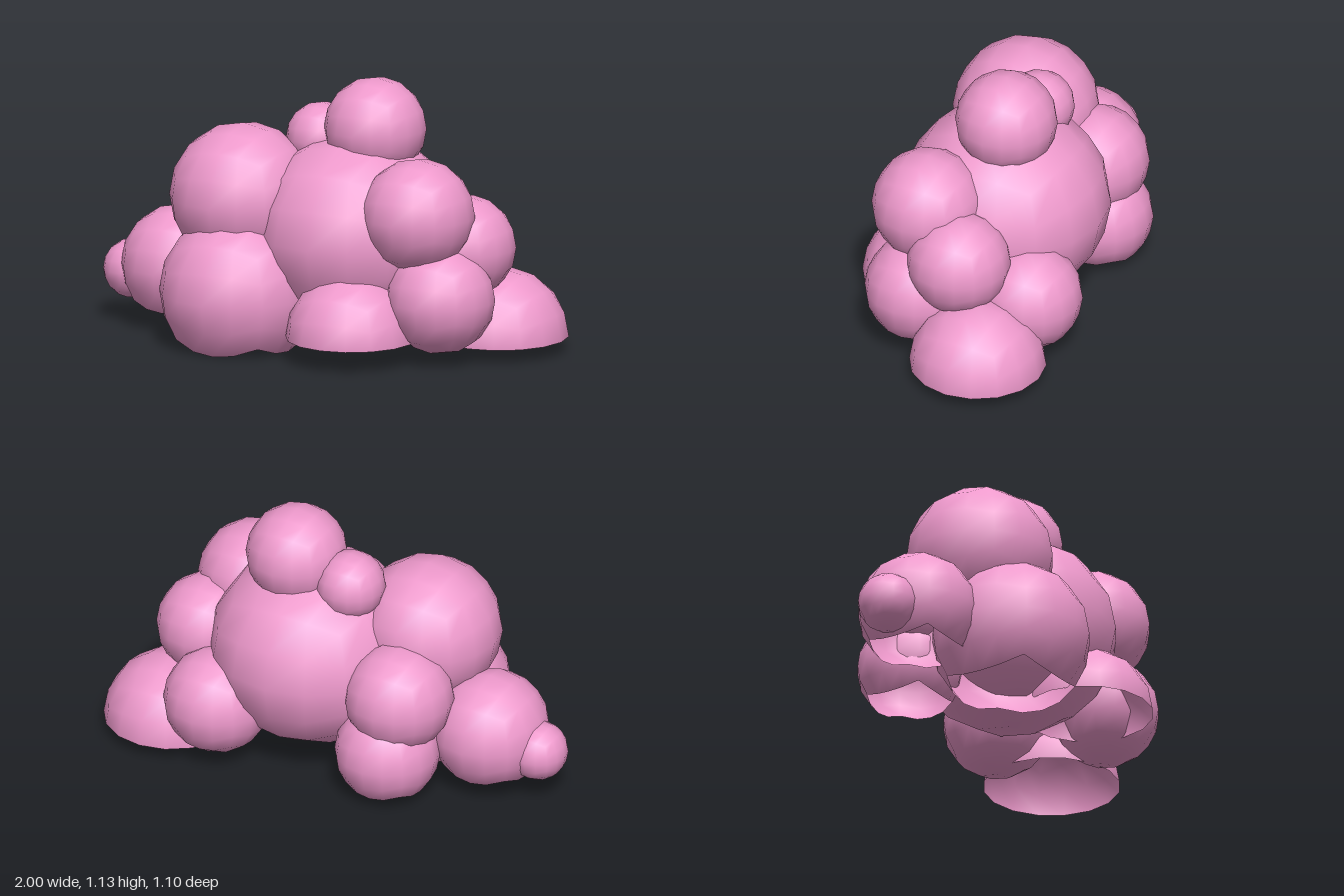
import * as THREE from 'three';

const pink = new THREE.MeshStandardMaterial({ color: 0xee99cc });
const pinkOpen = new THREE.MeshStandardMaterial({ color: 0xee99cc, side: THREE.DoubleSide });

// Unit sphere made from a 4x4 subdivided cube.
// kind: 'full', 'open' (bottom cube face missing) or 'dome' (upper half only)
function cubeSphere(kind) {
  const geo = new THREE.BoxGeometry(2, 2, 2, 4, 4, 4);
  const pos = geo.attributes.position, nor = geo.attributes.normal;
  const v = new THREE.Vector3();
  const even = (t) => Math.tan(t * Math.PI / 4);
  for (let i = 0; i < pos.count; i++) {
    v.fromBufferAttribute(pos, i);
    v.set(even(v.x), even(v.y), even(v.z)).normalize();
    pos.setXYZ(i, v.x, v.y, v.z);
    nor.setXYZ(i, v.x, v.y, v.z);
  }
  const bottom = geo.groups[3];
  const src = geo.index.array, kept = [];
  for (let i = 0; i < src.length; i += 3) {
    const tri = [src[i], src[i + 1], src[i + 2]];
    const inBottom = i >= bottom.start && i < bottom.start + bottom.count;
    const y = tri.reduce((s, k) => s + pos.getY(k), 0);
    if (kind !== 'full' && inBottom) continue;
    if (kind === 'dome' && y < 0) continue;
    kept.push(...tri);
  }
  geo.setIndex(kept);
  geo.clearGroups();
  return geo;
}

export function createModel() {
  const group = new THREE.Group();
  group.name = 'cloud';
  const shapes = { full: cubeSphere('full'), open: cubeSphere('open'), dome: cubeSphere('dome') };

  // name, kind, x, y, z, radius
  const puffs = [
    ['corePuff', 'full', 0.14, 0.48, -0.05, 0.44],
    ['topPuff', 'full', 0.205, 0.915, -0.09, 0.213],
    ['smallTopPuff', 'full', -0.055, 0.845, -0.105, 0.147],
    ['upperRightPuff', 'full', -0.315, 0.61, 0.095, 0.307],
    ['lowerFrontPuff', 'open', -0.27, 0.235, 0.22, 0.33],
    ['frontDome', 'dome', 0.27, 0.1, 0.24, 0.275],
    ['upperLeftPuff', 'full', 0.51, 0.617, 0.11, 0.238],
    ['lowerLeftPuff', 'full', 0.61, 0.27, 0.1, 0.228],
    ['middleLeftPuff', 'full', 0.62, 0.457, -0.09, 0.217],
    ['backLeftDome', 'dome', 0.715, 0.062, -0.23, 0.285],
    ['backPuff', 'full', 0.45, 0.265, -0.325, 0.226],
    ['backRightPuff', 'full', -0.34, 0.445, -0.21, 0.23],
    ['backRightBase', 'open', -0.31, 0.2, -0.255, 0.22],
    ['sidePuff', 'open', -0.65, 0.265, 0.01, 0.25],
    ['endPuff', 'full', -0.875, 0.22, 0.01, 0.125],
  ];
  for (const [name, kind, x, y, z, r] of puffs) {
    const mesh = new THREE.Mesh(shapes[kind], kind === 'full' ? pink : pinkOpen);
    mesh.name = name;
    mesh.position.set(x, y, z);
    mesh.scale.setScalar(r);
    if (name === 'corePuff') mesh.scale.y *= 0.94; // slightly squashed core
    group.add(mesh);
  }
  return group;
}
